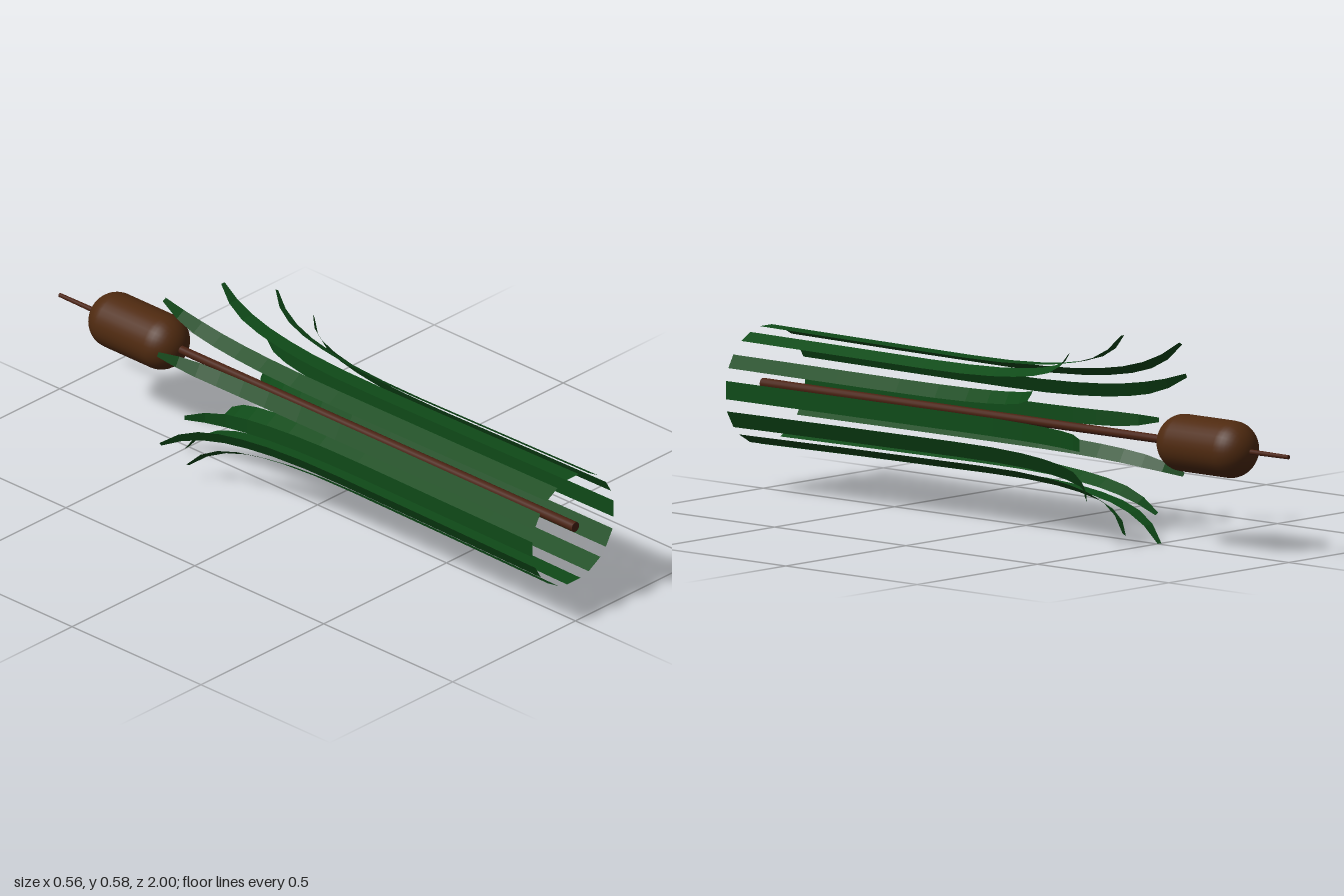
import * as THREE from 'three';

const leafMat = new THREE.MeshStandardMaterial({ color: 0x0f4a18, side: THREE.DoubleSide, flatShading: true });
const headMat = new THREE.MeshStandardMaterial({ color: 0x4f2a10 });
const stemMat = new THREE.MeshStandardMaterial({ color: 0x4a2212 });
const AXIS_Y = 0.3;

// Per blade, every 30 degrees: base x, y, tip x, y, z and width
const blades = [
  [0.148, 0.298, 0.28, 0.298, -0.46, 0.052],
  [0.129, 0.374, 0.226, 0.43, -0.23, 0.042],
  [0.069, 0.435, 0.128, 0.533, -0.28, 0.043],
  [-0.011, 0.456, -0.008, 0.578, -0.36, 0.05],
  [-0.091, 0.433, -0.152, 0.548, -0.45, 0.05],
  [-0.149, 0.373, -0.252, 0.438, -0.38, 0.048],
  [-0.168, 0.295, -0.28, 0.295, -0.25, 0.047],
  [-0.145, 0.217, -0.252, 0.155, -0.37, 0.045],
  [-0.087, 0.158, -0.151, 0.054, -0.36, 0.047],
  [-0.007, 0.139, -0.009, 0.001, -0.5, 0.055],
  [0.074, 0.159, 0.138, 0.043, -0.5, 0.055],
  [0.131, 0.217, 0.243, 0.15, -0.45, 0.055],
];

// Along the curl: part of its length, part of the outward reach, relative width
const curl = [
  [0, 0, 1], [0.25, 0.01, 1], [0.45, 0.06, 0.98], [0.6, 0.14, 0.96],
  [0.73, 0.25, 0.93], [0.84, 0.41, 0.88], [0.93, 0.65, 0.67], [1, 1, 0.28],
];

// Flat ribbon running straight along z, then curling outwards to a narrow tip
function bladeGeometry([bx, by, tx, ty, tz, width], angle) {
  const sx = -Math.sin(angle) / 2, sy = Math.cos(angle) / 2;
  const start = tz + 0.6;
  const rows = [[1, 0.06, 1], [0.6, 0.025, 1]];
  for (const [t, reach, w] of curl) rows.push([start - 0.6 * t, reach, w]);
  const pos = [], index = [];
  rows.forEach(([z, reach, w], i) => {
    const x = bx + (tx - bx) * reach, y = by + (ty - by) * reach;
    for (const s of [-1, 1]) pos.push(x + s * sx * width * w, y + s * sy * width * w, z);
    if (i) {
      const a = 2 * i - 2;
      index.push(a, a + 2, a + 1, a + 1, a + 2, a + 3);
    }
  });
  const geo = new THREE.BufferGeometry();
  geo.setAttribute('position', new THREE.Float32BufferAttribute(pos, 3));
  geo.setIndex(index);
  geo.computeVertexNormals();
  return geo;
}

// Tapered round rod along z
function rod(name, rBack, rFront, zBack, zFront) {
  const geo = new THREE.CylinderGeometry(rFront, rBack, zFront - zBack, 16);
  geo.rotateX(Math.PI / 2);
  const mesh = new THREE.Mesh(geo, stemMat);
  mesh.name = name;
  mesh.position.set(0, AXIS_Y, (zBack + zFront) / 2);
  return mesh;
}

export function createModel() {
  const group = new THREE.Group();
  group.name = 'reedPlant';

  // Ring of leaves
  const leaves = new THREE.Group();
  leaves.name = 'leaves';
  blades.forEach((b, i) => {
    const leaf = new THREE.Mesh(bladeGeometry(b, i * Math.PI / 6), leafMat);
    leaf.name = 'leaf' + (i + 1);
    leaves.add(leaf);
  });
  group.add(leaves);

  // Stem and the thin spike beyond the head
  group.add(rod('stem', 0.012, 0.015, -0.6, 1));
  group.add(rod('spike', 0.006, 0.008, -1, -0.8));

  // Seed head with rounded ends
  const profile = [], steps = 10, r = 0.081, cap = 0.075, half = 0.165;
  for (const end of [-1, 1]) {
    for (let i = 0; i <= steps; i++) {
      const a = (end < 0 ? i : steps - i) / steps * Math.PI / 2;
      profile.push(new THREE.Vector2(r * Math.sin(a), end * (half - cap + cap * Math.cos(a))));
    }
  }
  const headGeo = new THREE.LatheGeometry(profile, 32);
  headGeo.rotateX(Math.PI / 2);
  const head = new THREE.Mesh(headGeo, headMat);
  head.name = 'seedHead';
  head.position.set(0, AXIS_Y, -0.692);
  group.add(head);

  return group;
}
